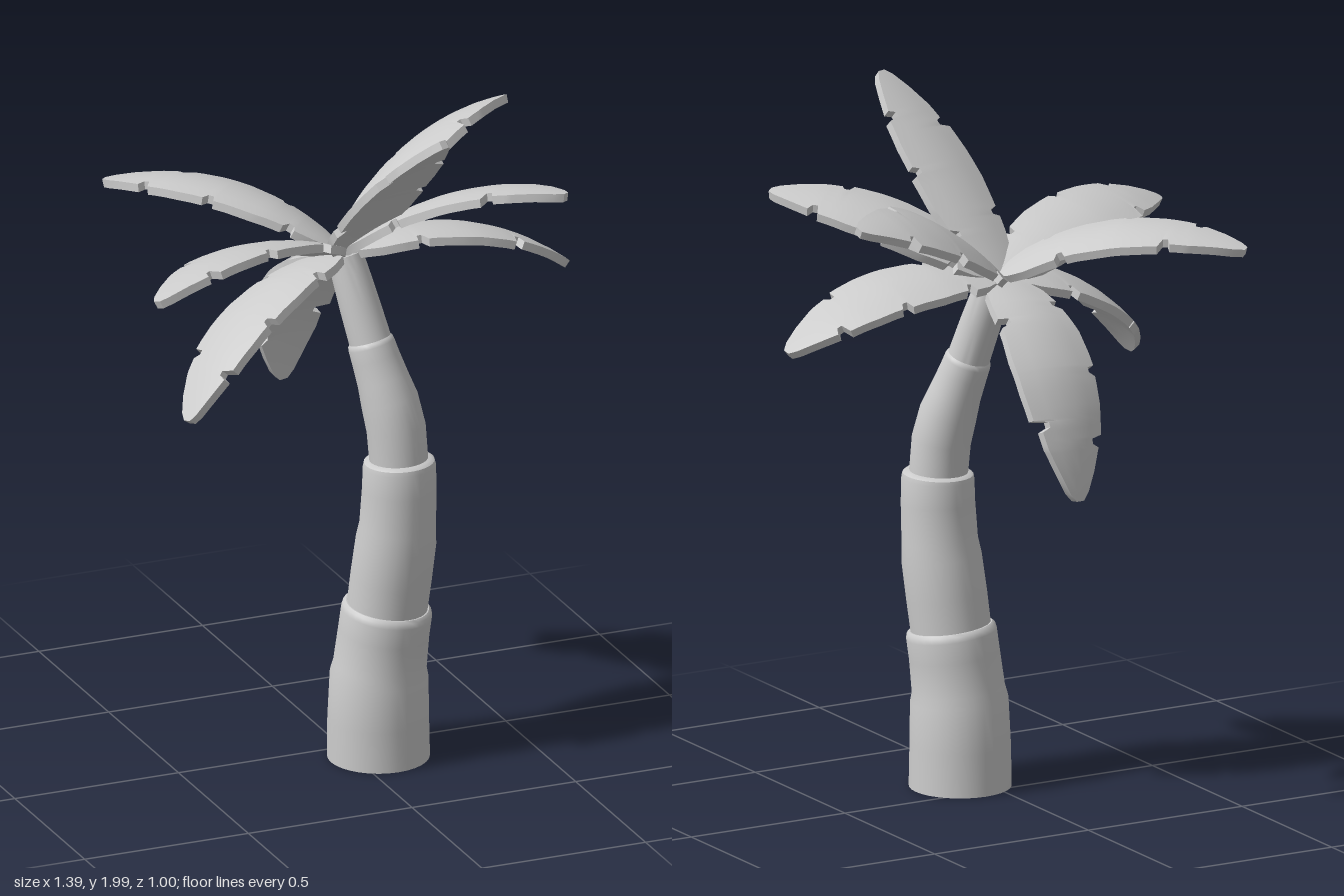
import * as THREE from 'three';
import { toCreasedNormals } from 'three/addons/utils/BufferGeometryUtils.js';

const material = new THREE.MeshStandardMaterial({ color: 0xcccccc });
const openMaterial = new THREE.MeshStandardMaterial({ color: 0xcccccc, side: THREE.DoubleSide });
const V = (x, y, z) => new THREE.Vector3(x, y, z);

// Skin through rings of points that run counterclockwise about the path
function loft(rings, crease, closeStart) {
  const n = rings[0].length, index = [];
  for (let i = 0; i < rings.length - 1; i++) {
    for (let j = 0; j < n; j++) {
      const a = i * n + j, b = i * n + (j + 1) % n;
      index.push(a, b, a + n, b, b + n, a + n);
    }
  }
  const end = (rings.length - 1) * n;
  for (let j = 0; j < n / 2 - 1; j++) {
    const a = j, b = j + 1, c = n - 1 - j, d = n - 2 - j;
    if (closeStart) index.push(a, c, b, b, c, d);
    index.push(end + a, end + b, end + c, end + b, end + d, end + c);
  }
  const geometry = new THREE.BufferGeometry().setFromPoints(rings.flat());
  geometry.setIndex(index);
  return toCreasedNormals(geometry, crease);
}

// Trunk centre line, points evenly spaced in height
const TRUNK_HEIGHT = 1.5;
const trunkLine = new THREE.CatmullRomCurve3([
  V(0.07, 0, 0.095), V(0.07, 0.25, 0.1), V(0.092, 0.5, 0.12), V(0.11, 0.75, 0.145),
  V(0.105, 1, 0.14), V(0.053, 1.25, 0.075), V(0.005, 1.5, 0),
]);

// Height and radius pairs for each stacked trunk section
const SECTIONS = [
  [[0, 0.145], [0.12, 0.143], [0.25, 0.139], [0.28, 0.132], [0.38, 0.129], [0.44, 0.129], [0.455, 0.126], [0.462, 0.118]],
  [[0.44, 0.114], [0.55, 0.115], [0.66, 0.114], [0.71, 0.108], [0.82, 0.105], [0.89, 0.103], [0.903, 0.1], [0.91, 0.09]],
  [[0.88, 0.083], [1, 0.084], [1.08, 0.082], [1.14, 0.074], [1.2, 0.069], [1.237, 0.067], [1.247, 0.065], [1.252, 0.06]],
  [[1.23, 0.061], [1.35, 0.058], [1.44, 0.054], [1.49, 0.051]],
];

function trunkRing([y, r]) {
  const t = y / TRUNK_HEIGHT, sides = 32;
  const centre = trunkLine.getPoint(t);
  const axis = y === 0 ? V(0, 1, 0) : trunkLine.getTangent(t);
  const u = V(1, 0, 0).addScaledVector(axis, -axis.x).normalize();
  const w = u.clone().cross(axis);
  return Array.from({ length: sides }, (_, k) => {
    const a = -k / sides * Math.PI * 2;
    return centre.clone().addScaledVector(u, r * Math.cos(a)).addScaledVector(w, r * Math.sin(a));
  });
}

// Leaf half-widths along its length, with torn notches on each edge
const RIGHT_EDGE = [[0, 0.012], [0.05, 0.055], [0.12, 0.088], [0.2, 0.103], [0.265, 0.11], [0.275, 0.082],
  [0.295, 0.082], [0.31, 0.112], [0.45, 0.125], [0.58, 0.123], [0.69, 0.114], [0.7, 0.072], [0.72, 0.07],
  [0.735, 0.094], [0.8, 0.085], [0.9, 0.055], [0.97, 0.03], [1, 0.01]];
const LEFT_EDGE = [[0, 0.012], [0.05, 0.055], [0.12, 0.088], [0.19, 0.103], [0.2, 0.077], [0.22, 0.077],
  [0.235, 0.106], [0.35, 0.122], [0.5, 0.125], [0.51, 0.1], [0.53, 0.1], [0.545, 0.12], [0.65, 0.115],
  [0.77, 0.1], [0.78, 0.064], [0.8, 0.064], [0.815, 0.085], [0.9, 0.06], [0.97, 0.034], [1, 0.015]];
const stations = [...new Set([...RIGHT_EDGE, ...LEFT_EDGE].map(([u]) => u))].sort((a, b) => a - b);

function widthAt(edge, u) {
  const i = Math.max(1, edge.findIndex(([v]) => v >= u));
  const [u0, w0] = edge[i - 1], [u1, w1] = edge[i];
  return w0 + (w1 - w0) * (u - u0) / (u1 - u0);
}

// The lean tilts a leaf back with the top of the trunk
function leafGeometry(control, tip, width, lean) {
  const path = new THREE.QuadraticBezierCurve3(V(0, 1.49, 0), control, tip);
  const crownUp = V(-0.15 * lean, 1, -0.4 * lean).normalize();
  const across = [-1, -0.6, -0.2, 0.2, 0.6, 1];
  const rings = stations.map((u) => {
    const centre = path.getPointAt(u), along = path.getTangentAt(u);
    const side = along.clone().cross(crownUp).normalize();
    const up = side.clone().cross(along);
    const place = (s, lift) => {
      const w = widthAt(s < 0 ? LEFT_EDGE : RIGHT_EDGE, u) * width * s;
      return centre.clone().addScaledVector(side, w).addScaledVector(up, lift - 1.2 * w * w);
    };
    return [...across.map((s) => place(s, 0.012)), ...across.map((s) => place(-s, -0.012))];
  });
  return loft(rings, 0.6, true);
}

// Control point, tip, relative width and lean of every leaf
const LEAVES = [
  ['frontLeaf', V(0.02, 1.8, 0.25), V(0.1, 1.985, 0.49), 0.94, 1],
  ['frontLeftLeaf', V(0.28, 1.74, 0.1), V(0.52, 1.72, 0.38), 1, 0.95],
  ['leftLeaf', V(0.39, 1.6, -0.03), V(0.68, 1.36, 0.01), 1, 0.4],
  ['backLeftLeaf', V(0.3, 1.78, -0.2), V(0.61, 1.77, -0.26), 0.97, 1],
  ['backLeaf', V(0, 1.43, -0.4), V(0.01, 0.95, -0.455), 1.05, 0.7],
  ['backRightLeaf', V(-0.24, 1.73, -0.19), V(-0.515, 1.61, -0.49), 0.92, 0.65],
  ['frontRightLeaf', V(-0.355, 1.69, 0.11), V(-0.69, 1.555, 0.3), 0.95, 0.65],
  ['lowerRightLeaf', V(-0.375, 1.48, 0.085), V(-0.565, 1.155, 0.23), 1, 0.55],
];

export function createModel() {
  const model = new THREE.Group();
  model.name = 'palmTree';
  const add = (parent, name, geometry, mat) => {
    const mesh = new THREE.Mesh(geometry, mat);
    mesh.name = name;
    parent.add(mesh);
  };

  // Trunk sections are hollow from below
  const trunk = new THREE.Group();
  trunk.name = 'trunk';
  SECTIONS.forEach((rows, i) => add(trunk, `trunkSection${i + 1}`, loft(rows.map(trunkRing), 0.7, false), openMaterial));

  const crown = new THREE.Group();
  crown.name = 'crown';
  for (const [name, ...shape] of LEAVES) add(crown, name, leafGeometry(...shape), material);

  model.add(trunk, crown);
  return model;
}
